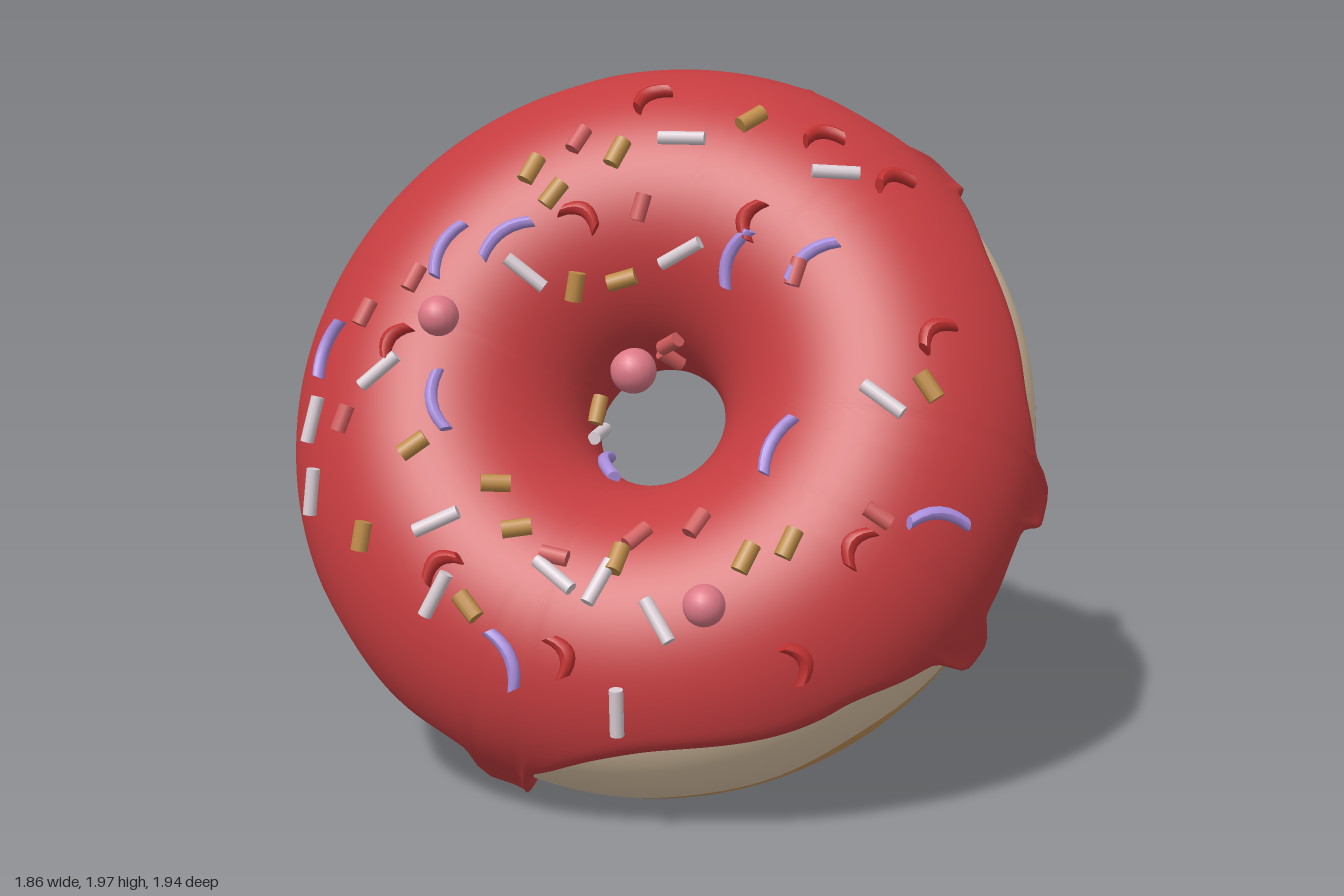
import * as THREE from 'three';
import { mergeVertices } from 'three/addons/utils/BufferGeometryUtils.js';

const RING = 0.63, TUBE = 0.42, ICING = 0.028, DEG = Math.PI / 180;

const mat = (name, color, side = THREE.FrontSide) => {
  const m = new THREE.MeshStandardMaterial({ color, side });
  m.name = name;
  return m;
};

// Patch of a ring surface: at(theta, t) gives [tube angle, raise], all in degrees
function ringPatch(at, nu, nv) {
  const pos = [], index = [];
  for (let i = 0; i < nu; i++) {
    const deg = i / nu * 360, th = deg * DEG;
    for (let j = 0; j <= nv; j++) {
      const [phi, raise] = at(deg, j / nv);
      const r = TUBE + raise, rho = RING + r * Math.cos(phi * DEG);
      pos.push(rho * Math.cos(th), rho * Math.sin(th), r * Math.sin(phi * DEG));
    }
  }
  const w = nv + 1;
  for (let i = 0; i < nu; i++) for (let j = 0; j < nv; j++) {
    const a = i * w + j, b = ((i + 1) % nu) * w + j;
    index.push(a, b, b + 1, a, b + 1, a + 1);
  }
  let g = new THREE.BufferGeometry();
  g.setAttribute('position', new THREE.Float32BufferAttribute(pos, 3));
  g.setIndex(index);
  g = mergeVertices(g);
  g.computeVertexNormals();
  return g;
}

// Icing rim: [ring angle, tube angle]
const RIM = [[-108, 22], [-81, 36], [-53, 27], [-40, 20], [-24, 3], [-12, 10], [8, 21], [27, 24],
  [40, 18], [60, 20], [68, 20], [84, 8], [95, 10], [109, 28], [140, 23], [160, 14], [185, 15],
  [205, 7], [218, 12], [232, 5], [252, 22]];
// Drips: [ring angle, tube angle of the tip]
const DRIPS = [[-108, -27], [-32, -19], [-8, -21], [46.5, -12], [75.5, -15], [162, -23]];

function rim(deg) {
  const x = deg > 252 ? deg - 360 : deg;
  let k = 0;
  while (k < RIM.length - 2 && x > RIM[k + 1][0]) k++;
  const [a, pa] = RIM[k], [b, pb] = RIM[k + 1];
  const s = THREE.MathUtils.smoothstep(x, a, b);
  let phi = pa + (pb - pa) * s, tip = 0;
  for (const [at, low] of DRIPS) {
    let d = Math.abs(x - at) % 360;
    d = Math.min(d, 360 - d);
    const narrow = Math.exp(-Math.pow(d / 4, 4));
    phi += (low - phi) * (0.65 * narrow + 0.35 * Math.exp(-d * d / 81));
    tip = Math.max(tip, narrow);
  }
  return { phi, tip };
}

const creamEdge = (deg) => -2 + 3 * Math.sin(deg * DEG * 5) + 2 * Math.sin(deg * DEG * 13 + 1);

// Sprinkles: [x, y, turn] as seen from the front
const SPRINKLES = {
  whiteSprinkle: { size: [0.019, 0.13], bend: 0, at: [[-0.37, 1.46, -40], [0.03, 1.82, -30], [0.31, 1.74, -30],
    [0.19, 1.19, -45], [-0.75, 1.2, 10], [-0.75, 0.84, 0], [-0.79, 0.66, 45], [-0.5, 0.4, 90], [-0.56, 0.73, -50],
    [-0.4, 0.64, -55], [-0.88, 1.05, 70], [-0.03, 1.52, 20], [-0.48, 0.72, 60], [-0.15, 0.98, 10], [-0.92, 0.86, 60]] },
  purpleSprinkle: { size: [0.018, 0.17], bend: 4, at: [[-0.53, 1.52, 60], [-0.4, 1.56, 20], [0.17, 1.53, 15],
    [0.05, 1.52, 50], [-0.66, 1.13, 100], [-0.02, 1.06, 60], [-0.2, 0.92, 50], [0.25, 0.9, -10],
    [-0.69, 0.52, -50], [-0.81, 1.24, 60]] },
  goldSprinkle: { size: [0.024, 0.08], bend: 0, at: [[0.2, 1.87, 20], [-0.29, 1.73, 60], [-0.27, 1.67, 40],
    [-0.11, 1.78, 60], [-0.25, 1.42, 80], [-0.14, 1.44, 20], [0.3, 1.22, -65], [-0.74, 1.02, 15], [-0.59, 0.93, -25],
    [-0.59, 0.83, -20], [-0.88, 0.78, 80], [-0.74, 0.64, -40], [-0.1, 0.84, 60], [-0.19, 0.8, 60],
    [-0.42, 0.77, 80], [-0.15, 1.05, 60]] },
  redSprinkle: { size: [0.021, 0.11], bend: 11, at: [[0.03, 1.92, 10], [0.34, 1.83, -20], [0.45, 1.72, 0],
    [0.09, 1.62, 60], [-0.22, 1.62, -30], [0.36, 1.35, 30], [-0.7, 1.28, 40], [0.03, 0.84, 50],
    [-0.12, 0.55, -60], [-0.59, 0.54, -60], [-0.77, 0.74, 10]] },
  coralSprinkle: { size: [0.022, 0.075], bend: 0, at: [[-0.17, 1.81, 60], [-0.1, 1.64, 70], [-0.61, 1.44, 60],
    [-0.72, 1.34, 60], [0.14, 1.49, 70], [0.04, 1.2, -10], [0.01, 1.25, 50], [0.1, 0.91, -40], [-0.54, 0.77, -40],
    [-0.35, 0.82, 30], [-0.84, 1.07, 60], [-0.23, 0.86, 70]] },
};
const BALLS = [[-0.59, 1.34, 0.056], [-0.05, 1.18, 0.066], [-0.3, 0.68, 0.056]];

function sprinkleGeometry([radius, length], bend) {
  const g = new THREE.CylinderGeometry(radius, radius, length, 10, bend ? 6 : 1);
  const p = g.attributes.position;
  for (let i = 0; i < p.count; i++) p.setX(i, p.getX(i) + bend * (p.getY(i) ** 2 - length * length / 12));
  if (bend) g.computeVertexNormals();
  return g;
}

export function createModel() {
  const model = new THREE.Group();
  model.name = 'doughnut';

  // Tilted body: local z is the axis through the hole, on the iced side
  const axis = new THREE.Vector3(-0.64, 0.49, 0.59).normalize();
  const across = new THREE.Vector3(axis.z, 0, -axis.x).normalize();
  const up = new THREE.Vector3().crossVectors(axis, across);
  const frame = new THREE.Matrix4().makeBasis(across, up, axis).setPosition(0.02, 0.99, -0.01);
  const inverse = frame.clone().invert();
  const body = new THREE.Group();
  body.name = 'body';
  body.applyMatrix4(frame);
  model.add(body);

  const add = (name, geometry, material) => {
    const m = new THREE.Mesh(geometry, material);
    m.name = name;
    body.add(m);
    return m;
  };

  // Dough and the pale band round its side
  add('dough', ringPatch((d, t) => [60 + (300 + creamEdge(d)) * t, 0], 180, 56), mat('dough', 0xc8965a));
  add('paleBand', ringPatch((d, t) => [creamEdge(d) + (60 - creamEdge(d)) * t, 0], 180, 14), mat('cream', 0xdcc4a6));

  // Icing with a rounded rim and swollen drip tips
  add('icing', ringPatch((d, t) => {
    const { phi, tip } = rim(d), end = 192;
    const a = phi + (end - phi) * Math.pow(t, 1.6);
    const s = a - phi;
    const k = Math.min(s / 8, (end - a) / 12, 1);
    const round = Math.sqrt(Math.max(0, 1 - (1 - k) ** 2));
    const swell = 0.032 * tip * Math.exp(-(((s - 7) / 8) ** 2));
    return [a, (ICING + swell) * round - 0.004];
  }, 360, 40), mat('icing', 0xc43c3f, THREE.DoubleSide));

  // Finds the icing surface behind a front position
  function land(x, y) {
    const p = new THREE.Vector3(), c = new THREE.Vector3(), best = new THREE.Vector3();
    let least = Infinity;
    for (let z = 1.2; z > -0.6; z -= 0.005) {
      p.set(x, y, z).applyMatrix4(inverse);
      c.set(p.x, p.y, 0).setLength(RING);
      const gap = p.distanceTo(c) - TUBE - ICING;
      if (gap < least) { least = gap; best.copy(p); }
      if (gap < 0.005) break;
    }
    c.set(best.x, best.y, 0).setLength(RING);
    const normal = best.sub(c).normalize();
    return { normal, point: c.addScaledVector(normal, TUBE + ICING) };
  }

  const colours = {
    whiteSprinkle: mat('white', 0xd8ccd2), purpleSprinkle: mat('purple', 0xa78bda),
    goldSprinkle: mat('gold', 0xbc8a46), redSprinkle: mat('red', 0xbf3030), coralSprinkle: mat('coral', 0xd05c5c),
  };
  for (const [name, { size, bend, at }] of Object.entries(SPRINKLES)) {
    const g = sprinkleGeometry(size, bend);
    for (const [x, y, turn] of at) {
      const { normal, point } = land(x, y);
      const along = new THREE.Vector3(Math.cos(turn * DEG), Math.sin(turn * DEG), 0).transformDirection(inverse);
      along.addScaledVector(normal, -along.dot(normal)).normalize();
      const side = new THREE.Vector3().crossVectors(along, normal);
      const m = add(name, g, colours[name]);
      m.applyMatrix4(new THREE.Matrix4().makeBasis(side, along, normal).setPosition(point.addScaledVector(normal, 0.01)));
    }
  }

  // Sugar balls
  const pink = mat('pink', 0xdc7886);
  for (const [x, y, r] of BALLS) {
    const { normal, point } = land(x, y);
    add('sugarBall', new THREE.SphereGeometry(r, 20, 14), pink).position.copy(point.addScaledVector(normal, r * 0.5));
  }
  return model;
}
